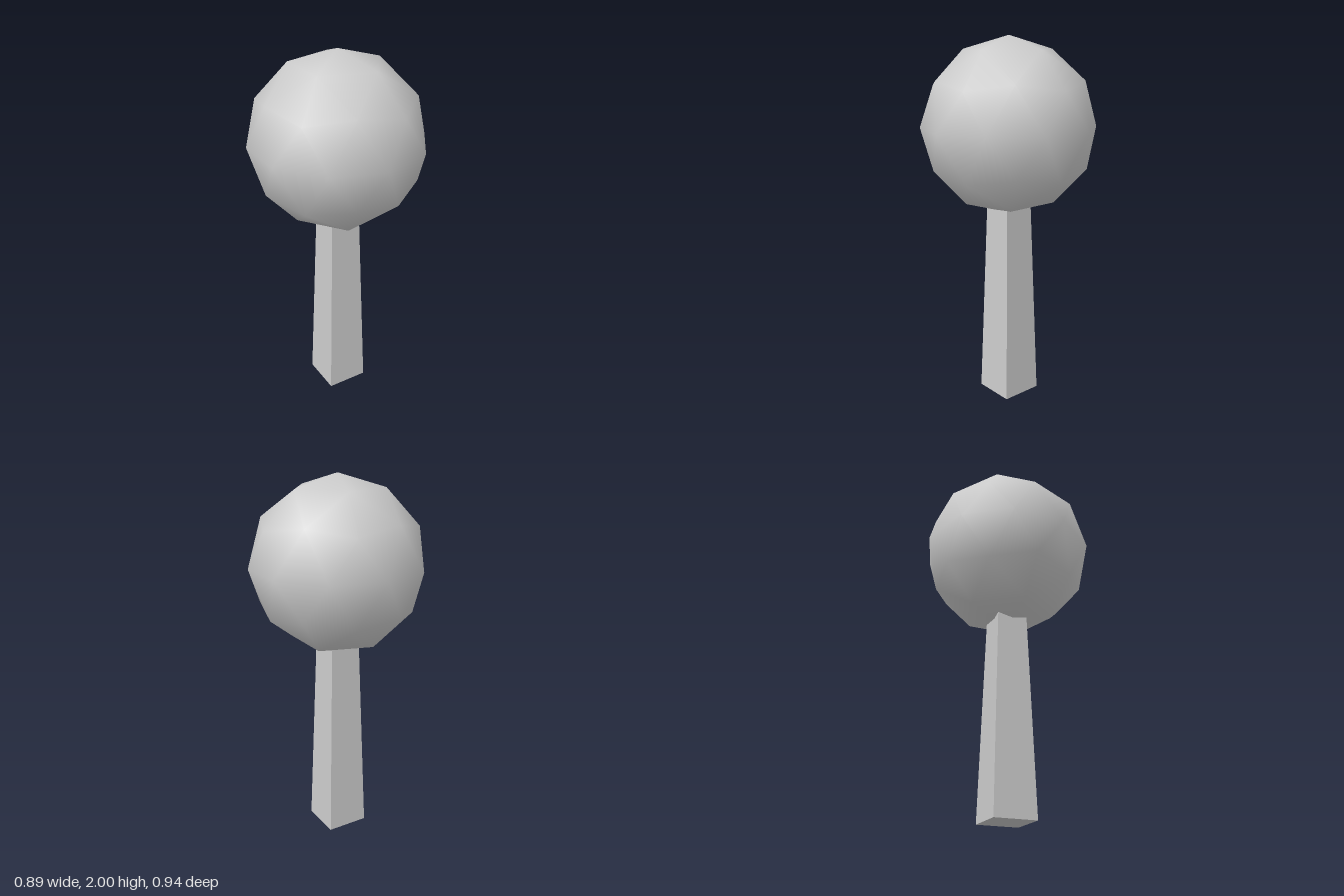
import * as THREE from 'three';

export function createModel() {
  const model = new THREE.Group();

  // Rounded crown: a once-subdivided icosahedron with a vertex at each pole
  const radius = 0.47;
  const crownGeo = new THREE.IcosahedronGeometry(radius, 1);
  const golden = (1 + Math.sqrt(5)) / 2;
  crownGeo.rotateZ(-Math.atan(1 / golden));
  const crown = new THREE.Mesh(crownGeo, new THREE.MeshStandardMaterial({ color: 0xcccccc }));
  crown.name = 'crown';
  crown.position.y = 2 - radius;
  model.add(crown);

  // Tapered square trunk, its top sunk into the crown
  const height = 1.15, bottomHalf = 0.116, topHalf = 0.083;
  const trunkGeo = new THREE.CylinderGeometry(topHalf * Math.SQRT2, bottomHalf * Math.SQRT2, height, 4);
  trunkGeo.rotateY(Math.PI / 4);
  const trunk = new THREE.Mesh(trunkGeo, new THREE.MeshStandardMaterial({ color: 0xcccccc, flatShading: true }));
  trunk.name = 'trunk';
  trunk.position.y = height / 2;
  model.add(trunk);

  return model;
}
